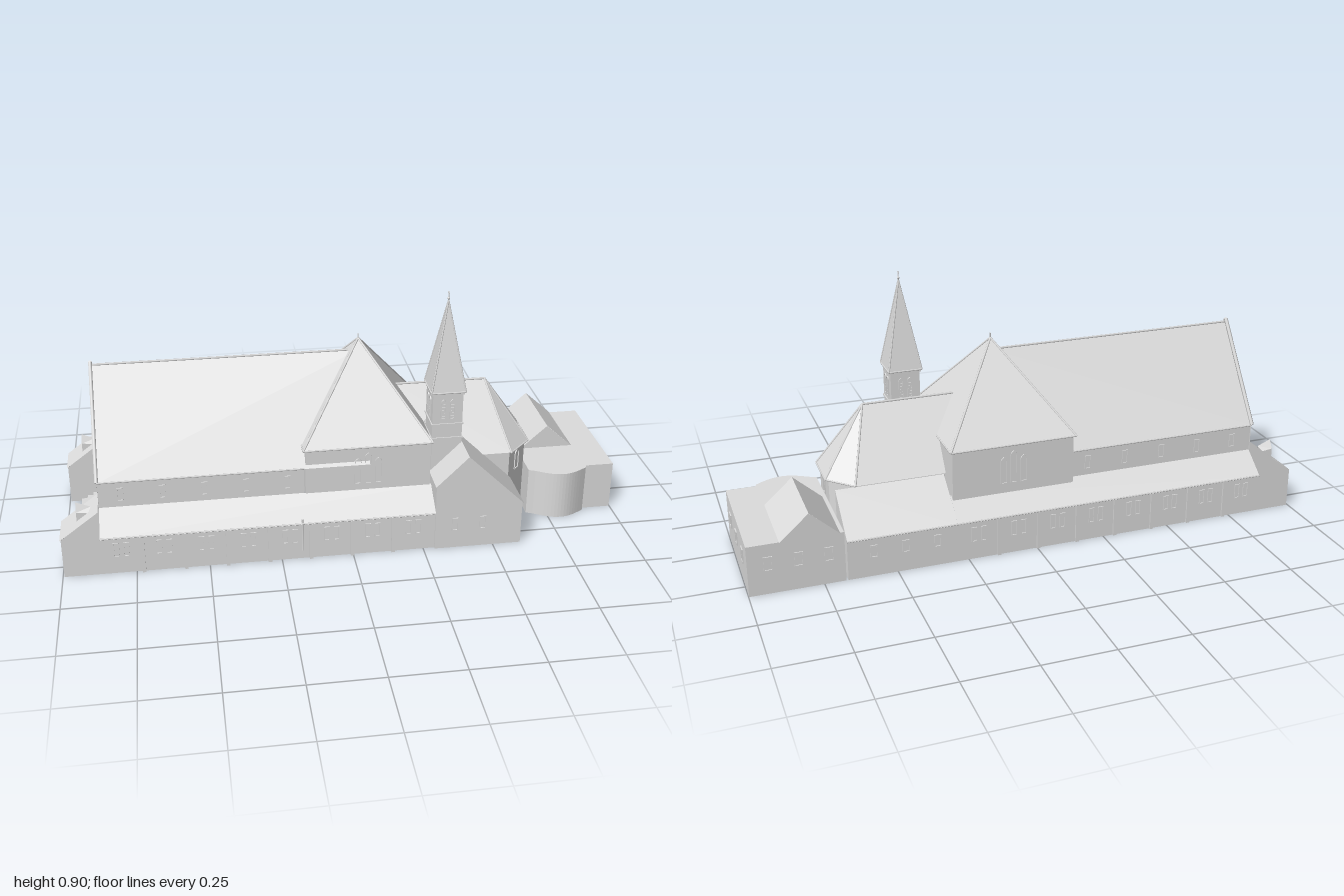
import * as THREE from 'three';

const stone = new THREE.MeshStandardMaterial({ color: 0xdcdcdc, side: THREE.DoubleSide });
stone.name = 'pale stone';

export function createModel() {
  const model = new THREE.Group();
  model.name = 'church';

  const add = (name, geo, parent = model) => {
    const m = new THREE.Mesh(geo, stone);
    m.name = name;
    parent.add(m);
    return m;
  };
  // Flat polygons, each fanned from its first corner
  const faces = (name, ...polys) => {
    const p = [];
    for (const poly of polys)
      for (let i = 1; i < poly.length - 1; i++) p.push(...poly[0], ...poly[i], ...poly[i + 1]);
    const g = new THREE.BufferGeometry();
    g.setAttribute('position', new THREE.Float32BufferAttribute(p, 3));
    g.computeVertexNormals();
    return add(name, g);
  };
  // Upright walls along a plan of [x, z] points
  const walls = (name, plan, y0, y1, closed = true) => {
    const polys = [];
    for (let i = 0; i < plan.length - (closed ? 0 : 1); i++) {
      const [a, b] = plan[i], [c, d] = plan[(i + 1) % plan.length];
      polys.push([[a, y0, b], [a, y1, b], [c, y1, d], [c, y0, d]]);
    }
    return faces(name, ...polys);
  };
  const rect = (x0, x1, z0, z1) => [[x0, z1], [x1, z1], [x1, z0], [x0, z0]];
  const box = (name, x0, x1, y0, y1, z0, z1) => {
    const m = add(name, new THREE.BoxGeometry(x1 - x0, y1 - y0, z1 - z0));
    m.position.set((x0 + x1) / 2, (y0 + y1) / 2, (z0 + z1) / 2);
    return m;
  };
  // Thin round bar between two points
  const bar = (name, a, b, r = 0.004) => {
    const A = new THREE.Vector3(...a), B = new THREE.Vector3(...b), d = B.clone().sub(A);
    const m = add(name, new THREE.CylinderGeometry(r, r, d.length(), 6));
    m.position.copy(A).addScaledVector(d, 0.5);
    m.quaternion.setFromUnitVectors(new THREE.Vector3(0, 1, 0), d.normalize());
  };
  const outline = (T, w, h, arch, inset) => {
    const s = new T(), k = w / 2 - inset, b = inset, t = h - inset;
    s.moveTo(-k, b);
    s.lineTo(k, b);
    if (arch) {
      s.lineTo(k, t - k * 1.4);
      s.quadraticCurveTo(k, t - k * 0.5, 0, t);
      s.quadraticCurveTo(-k, t - k * 0.5, -k, t - k * 1.4);
    } else {
      s.lineTo(k, t);
      s.lineTo(-k, t);
    }
    s.closePath();
    return s;
  };
  // Window surround, sill at (x, y, z), facing along the angle
  const frame = (name, x, y, z, w, h, angle = 0, arch = true) => {
    const s = outline(THREE.Shape, w, h, arch, 0);
    s.holes.push(outline(THREE.Path, w, h, arch, 0.003));
    const m = add(name, new THREE.ExtrudeGeometry(s, { depth: 0.004, bevelEnabled: false, curveSegments: 4 }));
    m.position.set(x, y, z);
    m.rotation.y = angle;
  };
  const EAST = Math.PI / 2, WEST = -EAST, BACK = Math.PI, W = -0.865, MID = -0.012;

  // West front, with the gable rising as a parapet
  faces('westFront', [[W, 0, MID], [W, 0, 0.31], [W, 0.145, 0.31], [W, 0.21, 0.232], [W, 0.315, 0.232],
    [W, 0.645, MID], [W, 0.315, -0.245], [W, 0.21, -0.245], [W, 0.145, -0.32], [W, 0, -0.32]]);
  for (const z of [0.238, -0.25]) bar('gableCoping', [W, 0.315, z], [W, 0.65, MID], 0.007);
  box('gableCross', W - 0.006, W, 0.43, 0.535, MID - 0.005, MID + 0.005);
  box('gableCross', W - 0.006, W, 0.495, 0.505, MID - 0.03, MID + 0.03);
  for (let i = -2; i <= 2; i++)
    frame('westLancet', W, 0.19, MID + i * 0.05, 0.03, 0.15 - Math.abs(i) * 0.02, WEST);
  for (let i = -1; i <= 1; i++)
    frame('portal', W, 0.048, MID + i * 0.1, i ? 0.06 : 0.09, i ? 0.08 : 0.115, WEST);
  for (let i = 0; i < 4; i++)
    box('entranceStep', -0.955 + i * 0.022, W, i * 0.012, i * 0.012 + 0.012, -0.195, 0.175);

  // Nave
  for (const [z, e] of [[0.228, 0.238], [-0.24, -0.25]]) {
    walls('clerestory', [[W, z], [-0.16, z]], 0.2, 0.32, false);
    faces('naveRoof', [[W, 0.312, e], [0.07, 0.312, e], [0.07, 0.64, MID], [W, 0.64, MID]]);
    bar('naveGutter', [W, 0.313, e], [-0.16, 0.313, e], 0.003);
    for (let i = 0; i < 5; i++)
      frame('clerestoryWindow', -0.79 + i * 0.143, 0.235, z, 0.022, 0.05, z > 0 ? 0 : BACK, false);
  }
  bar('naveRidge', [W, 0.64, MID], [0.03, 0.64, MID]);

  // Aisles
  walls('frontAisleWall', [[W, 0.312], [0.29, 0.312]], 0, 0.15, false);
  faces('frontAisleRoof', [[W, 0.143, 0.325], [0.29, 0.143, 0.325], [0.29, 0.212, 0.228], [W, 0.212, 0.228]]);
  walls('backAisleWall', [[W, -0.32], [0.67, -0.32]], 0, 0.15, false);
  faces('backAisleRoof',
    [[W, 0.143, -0.33], [0.29, 0.143, -0.33], [0.29, 0.212, -0.24], [W, 0.212, -0.24]],
    [[0.29, 0.143, -0.33], [0.67, 0.143, -0.33], [0.67, 0.262, -0.17], [0.29, 0.262, -0.17]]);
  faces('backAisleEnd', [[0.67, 0, -0.32], [0.67, 0.145, -0.32], [0.67, 0.262, -0.17], [0.67, 0, -0.17]]);
  bar('frontAisleGutter', [W, 0.144, 0.322], [0.29, 0.144, 0.322], 0.003);
  bar('backAisleGutter', [W, 0.144, -0.327], [0.67, 0.144, -0.327], 0.003);
  for (let i = 0; i < 7; i++) {
    const x = -0.725 + i * 0.1443;
    box('frontButtress', x - 0.006, x + 0.006, 0, 0.14, 0.312, 0.322);
    box('backButtress', x - 0.006, x + 0.006, 0, 0.14, -0.327, -0.32);
  }
  for (let i = 0; i < 8; i++)
    for (const d of [-0.017, 0.017]) {
      const x = -0.797 + i * 0.1443 + d;
      frame('frontAisleWindow', x, 0.065, 0.312, 0.02, 0.055, 0, false);
      frame('backAisleWindow', x, 0.065, -0.32, 0.02, 0.055, BACK, false);
    }
  for (const x of [0.36, 0.47, 0.58]) frame('backAisleWindow', x, 0.07, -0.32, 0.025, 0.045, BACK, false);
  bar('downpipe', [-0.178, 0.035, 0.318], [-0.178, 0.16, 0.318], 0.003);

  // Crossing with its pyramid roof
  walls('crossingWalls', rect(-0.155, 0.285, -0.258, 0.23), 0.2, 0.382);
  const apex = [0.065, 0.682, MID - 0.002];
  const eaves = rect(-0.163, 0.292, -0.265, 0.236).map(([x, z]) => [x, 0.378, z]);
  eaves.forEach((p, i) => {
    const q = eaves[(i + 1) % 4];
    faces('crossingRoof', [p, q, apex]);
    bar('crossingHip', p, apex);
    bar('crossingGutter', p, q, 0.003);
  });
  bar('crossingFinial', apex, [0.065, 0.7, apex[2]], 0.002);
  for (let i = -1; i <= 1; i++) {
    frame('crossingLancet', 0.065 + i * 0.036, 0.235, 0.23, 0.024, i ? 0.1 : 0.12);
    frame('crossingLancet', 0.065 + i * 0.036, 0.235, -0.258, 0.024, i ? 0.1 : 0.12, BACK);
  }

  // Choir and many-sided apse
  const apse = [[0.285, 0.134], [0.598, 0.134], [0.675, 0.056], [0.675, -0.088], [0.598, -0.168], [0.285, -0.168]];
  walls('choirWalls', apse, 0, 0.272, false);
  const tip = [0.53, 0.495, -0.014], start = [0.2, 0.495, -0.014];
  const rim = [[0.2, 0.146], [0.602, 0.146], [0.687, 0.06], [0.687, -0.092], [0.602, -0.178], [0.2, -0.178]]
    .map(([x, z]) => [x, 0.268, z]);
  faces('choirRoof', [start, rim[0], rim[1], tip], [start, tip, rim[4], rim[5]]);
  for (let i = 1; i < 5; i++) {
    bar('apseRib', rim[i], tip);
    if (i < 4) {
      faces('apseRoof', [rim[i], rim[i + 1], tip]);
      bar('apseGutter', rim[i], rim[i + 1], 0.003);
    }
  }
  bar('choirRidge', start, tip);
  frame('apseWindow', 0.6365, 0.175, 0.095, 0.028, 0.08, Math.PI / 4);
  frame('apseWindow', 0.675, 0.185, -0.016, 0.028, 0.07, EAST);

  // Side chapel with ridge running front to back
  faces('chapelGables', ...[0.32, 0.136].map((z) =>
    [[0.4, 0, z], [0.6, 0, z], [0.6, 0.165, z], [0.4, 0.358, z], [0.29, 0.252, z], [0.29, 0, z]]));
  walls('chapelEastWall', [[0.6, 0.32], [0.6, 0.136]], 0, 0.165, false);
  walls('chapelWestWall', [[0.29, 0.32], [0.29, 0.136]], 0, 0.252, false);
  faces('chapelRoof',
    [[0.4, 0.361, 0.325], [0.4, 0.361, 0.136], [0.606, 0.16, 0.136], [0.606, 0.16, 0.325]],
    [[0.4, 0.361, 0.325], [0.4, 0.361, 0.136], [0.287, 0.25, 0.136], [0.287, 0.25, 0.325]]);
  for (const x of [0.36, 0.46]) frame('chapelWindow', x, 0.07, 0.32, 0.022, 0.05, 0, false);
  frame('chapelWindow', 0.6, 0.07, 0.23, 0.022, 0.05, EAST, false);

  // Bell tower
  const tx = 0.345, tz = 0.154;
  walls('towerWalls', rect(tx - 0.053, tx + 0.053, tz - 0.053, tz + 0.053), 0, 0.555);
  for (const y of [0.376, 0.43, 0.545])
    box('towerBand', tx - 0.057, tx + 0.057, y, y + 0.006, tz - 0.057, tz + 0.057);
  for (let s = 0; s < 4; s++) {
    const a = s * EAST;
    for (const d of [-0.016, 0.016]) {
      const at = (out) => [tx + Math.sin(a) * out + Math.cos(a) * d, tz + Math.cos(a) * out - Math.sin(a) * d];
      const [x, z] = at(0.053);
      frame('belfryOpening', x, 0.453, z, 0.018, 0.075, a);
      for (let k = 0; k < 5; k++) {
        const slat = add('belfryLouvre', new THREE.BoxGeometry(0.014, 0.003, 0.005));
        slat.position.set(x, 0.463 + k * 0.011, z);
        slat.rotation.y = a;
      }
    }
  }
  const spireTip = [tx, 0.872, tz];
  const spireRim = rect(tx - 0.06, tx + 0.06, tz - 0.06, tz + 0.06).map(([x, z]) => [x, 0.555, z]);
  faces('spireBase', spireRim);
  spireRim.forEach((p, i) => {
    const q = spireRim[(i + 1) % 4];
    faces('spire', [p, q, spireTip]);
    bar('spireHip', p, spireTip, 0.003);
    bar('spireEave', p, q, 0.003);
  });
  bar('spireCross', spireTip, [tx, 0.904, tz], 0.002);
  bar('spireCross', [tx, 0.9, tz - 0.009], [tx, 0.9, tz + 0.009], 0.002);
  add('spireBall', new THREE.SphereGeometry(0.005, 8, 6)).position.set(tx, 0.88, tz);

  // Corner porches with lean-to roofs and small dormers
  for (const [z0, z1] of [[0.178, 0.312], [-0.32, -0.2]]) {
    const zc = (z0 + z1) / 2;
    walls('porchFront', [[-0.995, z0], [-0.995, z1]], 0, 0.145, false);
    for (const z of [z0, z1])
      faces('porchSide', [[-0.995, 0, z], [W, 0, z], [W, 0.24, z], [-0.995, 0.145, z]]);
    faces('porchRoof', [[-1, 0.142, z0], [-1, 0.142, z1], [W, 0.243, z1], [W, 0.243, z0]]);
    const f = -0.94, l = zc - 0.018, r = zc + 0.018;
    faces('porchDormer', [[f, 0.18, l], [f, 0.22, l], [f, 0.25, zc], [f, 0.22, r], [f, 0.18, r]],
      [[f, 0.22, l], [f, 0.25, zc], [-0.89, 0.23, zc], [-0.9, 0.215, l]],
      [[f, 0.22, r], [f, 0.25, zc], [-0.89, 0.23, zc], [-0.9, 0.215, r]],
      [[f, 0.18, l], [f, 0.22, l], [-0.9, 0.215, l]], [[f, 0.18, r], [f, 0.22, r], [-0.9, 0.215, r]]);
  }

  // Flat-roofed annex with a bowed front and a gabled attic
  const bow = [];
  for (let i = 0; i <= 16; i++) {
    const t = i / 16;
    bow.push([0.7 + t * 0.19, 0.138 + 0.038 * Math.sin(Math.PI * t)]);
  }
  const plan = [[0.8, -0.32], [0.677, -0.32], [0.677, 0.128], ...bow, [0.895, 0.125], [0.998, 0.125], [0.998, -0.32]];
  walls('annexWalls', plan, 0, 0.18);
  faces('annexRoof', plan.map(([x, z]) => [x, 0.18, z]));
  faces('atticRoof', ...[0.69, 0.89].map((x) =>
    [[x, 0.18, -0.326], [x, 0.18, -0.036], [0.79, 0.27, -0.036], [0.79, 0.27, -0.326]]));
  faces('atticGables', ...[-0.038, -0.322].map((z) => [[0.69, 0.18, z], [0.89, 0.18, z], [0.79, 0.268, z]]));
  for (const z of [-0.23, -0.1, 0.03]) frame('annexWindow', 0.998, 0.085, z, 0.035, 0.05, EAST, false);
  for (const x of [0.73, 0.83, 0.93]) frame('annexWindow', x, 0.085, -0.32, 0.03, 0.05, BACK, false);

  return model;
}
